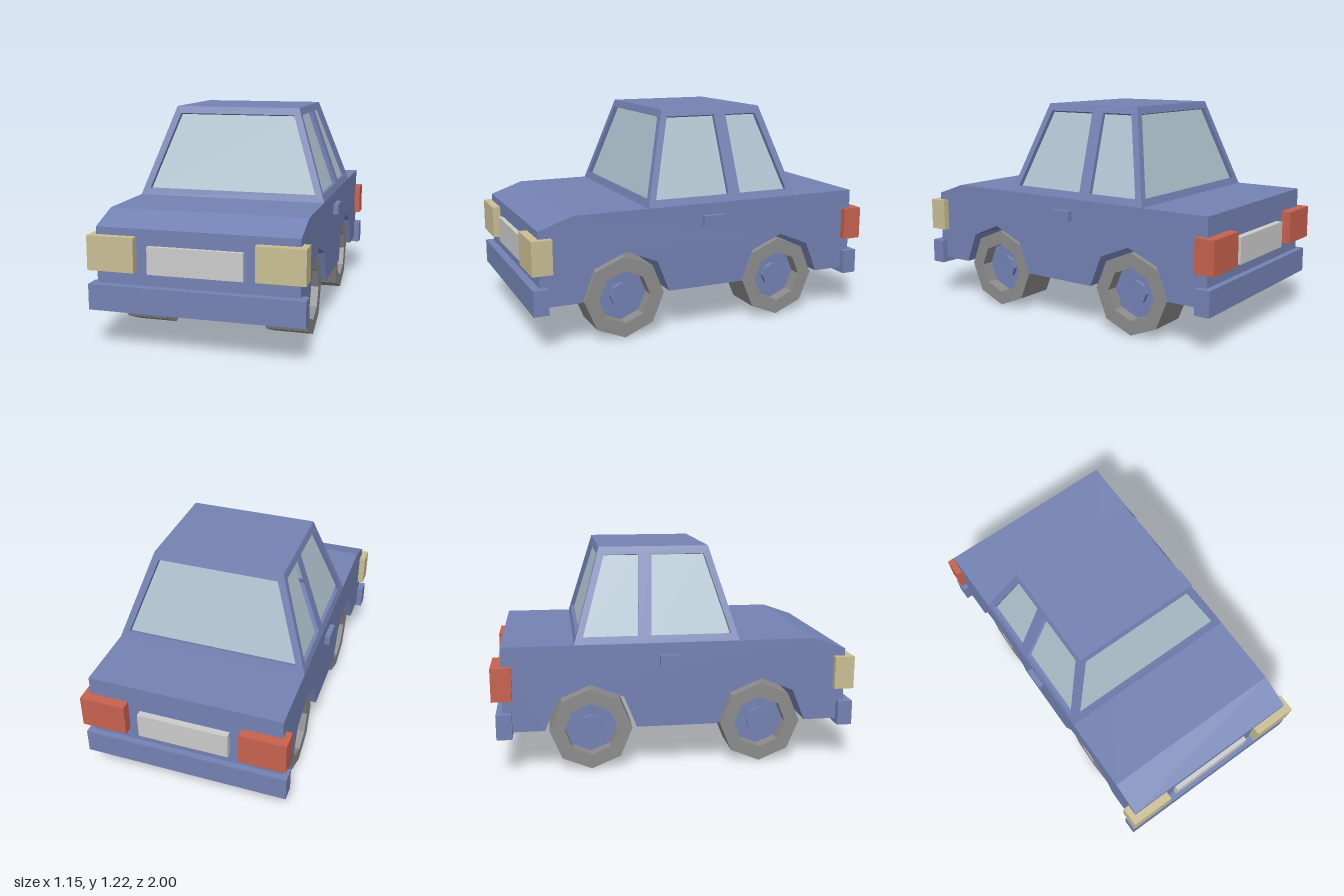
import * as THREE from 'three';

const mat = (color, side = THREE.FrontSide) =>
  new THREE.MeshStandardMaterial({ color, side, flatShading: true });

export function createModel() {
  const car = new THREE.Group();
  car.name = 'car';
  const paint = mat(0x7482b4);
  const glass = mat(0xafc3cf, THREE.DoubleSide);
  const rubber = mat(0x8c8c8c);
  const grey = mat(0xcccccc);
  const cream = mat(0xc9be94);
  const red = mat(0xc8624f);

  const add = (name, geometry, material, parent = car) => {
    const mesh = new THREE.Mesh(geometry, material);
    mesh.name = name;
    parent.add(mesh);
    return mesh;
  };
  // box given by its limits on each axis
  const box = (name, [x0, x1], [y0, y1], [z0, z1], material) =>
    add(name, new THREE.BoxGeometry(x1 - x0, y1 - y0, z1 - z0), material)
      .position.set((x0 + x1) / 2, (y0 + y1) / 2, (z0 + z1) / 2);
  const toShape = (pts) => new THREE.Shape(pts.map(([x, y]) => new THREE.Vector2(x, y)));

  // lower body: side profile with wheel arches, extruded across the width
  const axles = [0.48, -0.47];
  const halfWidth = 0.538;
  const arch = (z) => [[z + 0.25, 0.24], [z + 0.18, 0.415], [z, 0.49], [z - 0.18, 0.415], [z - 0.25, 0.24]];
  const profile = [
    [-0.945, 0.24], [-0.945, 0.71], [0.77, 0.71], [0.955, 0.645], [0.955, 0.24],
    ...axles.flatMap(arch),
  ];
  const bodyGeo = new THREE.ExtrudeGeometry(toShape(profile), { depth: 2 * halfWidth, bevelEnabled: false });
  bodyGeo.translate(0, 0, -halfWidth).rotateY(-Math.PI / 2);
  add('body', bodyGeo, paint);

  // cabin: four leaning walls with recessed windows, and a roof
  const base = 0.71, top = 1.215, rise = top - base;
  const wall = (name, across, origin, lean, outline, windows) => {
    const group = new THREE.Group();
    group.name = name;
    const up = new THREE.Vector3(lean[0], rise, lean[1]);
    const stretch = up.length() / rise;
    up.normalize();
    const flat = (pts) => pts.map(([u, y]) => [u, (y - base) * stretch]);
    const frame = toShape(flat(outline));
    frame.holes = windows.map((w) => toShape(flat(w)));
    const frameGeo = new THREE.ExtrudeGeometry(frame, { depth: 0.03, bevelEnabled: false });
    add(name + 'Frame', frameGeo.translate(0, 0, -0.03), paint, group);
    windows.forEach((w) => {
      const pane = new THREE.ShapeGeometry(toShape(flat(w)));
      add(name + 'Glass', pane.translate(0, 0, -0.024), glass, group);
    });
    const out = new THREE.Vector3().crossVectors(across, up);
    new THREE.Matrix4().makeBasis(across, up, out).setPosition(origin[0], base, origin[1])
      .decompose(group.position, group.quaternion, group.scale);
    car.add(group);
  };
  const X = (s) => new THREE.Vector3(s, 0, 0);
  const Z = (s) => new THREE.Vector3(0, 0, s);
  const endOutline = [[-0.538, base], [0.538, base], [0.362, top], [-0.362, top]];
  const endWindow = [[-0.485, 0.75], [0.485, 0.75], [0.335, 1.175], [-0.335, 1.175]];
  wall('windscreen', X(1), [0, 0.35], [0, -0.15], endOutline, [endWindow]);
  wall('rearWindow', X(-1), [0, -0.555], [0, 0.15], endOutline, [endWindow]);

  const sideOutline = [[0.35, base], [-0.555, base], [-0.405, top], [0.2, top]];
  const sideWindows = [
    [[0.302, 0.75], [-0.136, 0.75], [-0.115, 1.175], [0.174, 1.175]],
    [[-0.206, 0.75], [-0.505, 0.75], [-0.377, 1.175], [-0.187, 1.175]],
  ];
  for (const s of [1, -1]) {
    const flip = (pts) => pts.map(([z, y]) => [-s * z, y]);
    wall(s > 0 ? 'leftSide' : 'rightSide', Z(-s), [s * 0.538, 0], [-s * 0.176, 0],
      flip(sideOutline), sideWindows.map(flip));
  }
  box('roof', [-0.362, 0.362], [top - 0.02, top], [-0.405, 0.2], paint);

  // bumpers and number plates
  box('frontBumper', [-0.573, 0.573], [0.21, 0.348], [0.915, 0.998], paint);
  box('rearBumper', [-0.573, 0.573], [0.21, 0.348], [-0.98, -0.895], paint);
  box('frontPlate', [-0.253, 0.253], [0.415, 0.56], [0.94, 0.98], grey);
  box('rearPlate', [-0.253, 0.253], [0.415, 0.56], [-0.982, -0.93], grey);

  // lights and door handles, mirrored left to right
  for (const s of [1, -1]) {
    const span = (a, b) => (s > 0 ? [a, b] : [-b, -a]);
    box('headlight', span(0.318, 0.573), [0.422, 0.605], [0.89, 1], cream);
    box('tailLight', span(0.318, 0.573), [0.422, 0.605], [-1, -0.89], red);
    box('doorHandle', span(0.52, 0.568), [0.585, 0.645], [-0.092, 0.032], paint);
  }

  // eight-sided wheels with a recessed rim and a hub cap
  const half = 0.1135;
  const tyreProfile = [[0, -half], [0.228, -half], [0.228, half], [0.147, half], [0.147, half - 0.075]]
    .map(([r, y]) => new THREE.Vector2(r, y));
  const tyreGeo = new THREE.LatheGeometry(tyreProfile, 8).rotateZ(-Math.PI / 2);
  const disc = (r, x0, x1) =>
    new THREE.CylinderGeometry(r, r, x1 - x0, 8).rotateZ(-Math.PI / 2).translate((x0 + x1) / 2, 0, 0);
  const rimGeo = disc(0.147, 0, half - 0.07);
  const hubGeo = disc(0.067, 0.02, half - 0.045);
  for (const z of axles) {
    for (const s of [1, -1]) {
      const wheel = new THREE.Group();
      wheel.name = z > 0 ? 'frontWheel' : 'rearWheel';
      add('tyre', tyreGeo, rubber, wheel);
      add('rim', rimGeo, paint, wheel);
      add('hub', hubGeo, paint, wheel);
      wheel.position.set(s * 0.3985, 0.228, z);
      wheel.rotation.y = s > 0 ? 0 : Math.PI;
      car.add(wheel);
    }
  }
  return car;
}
